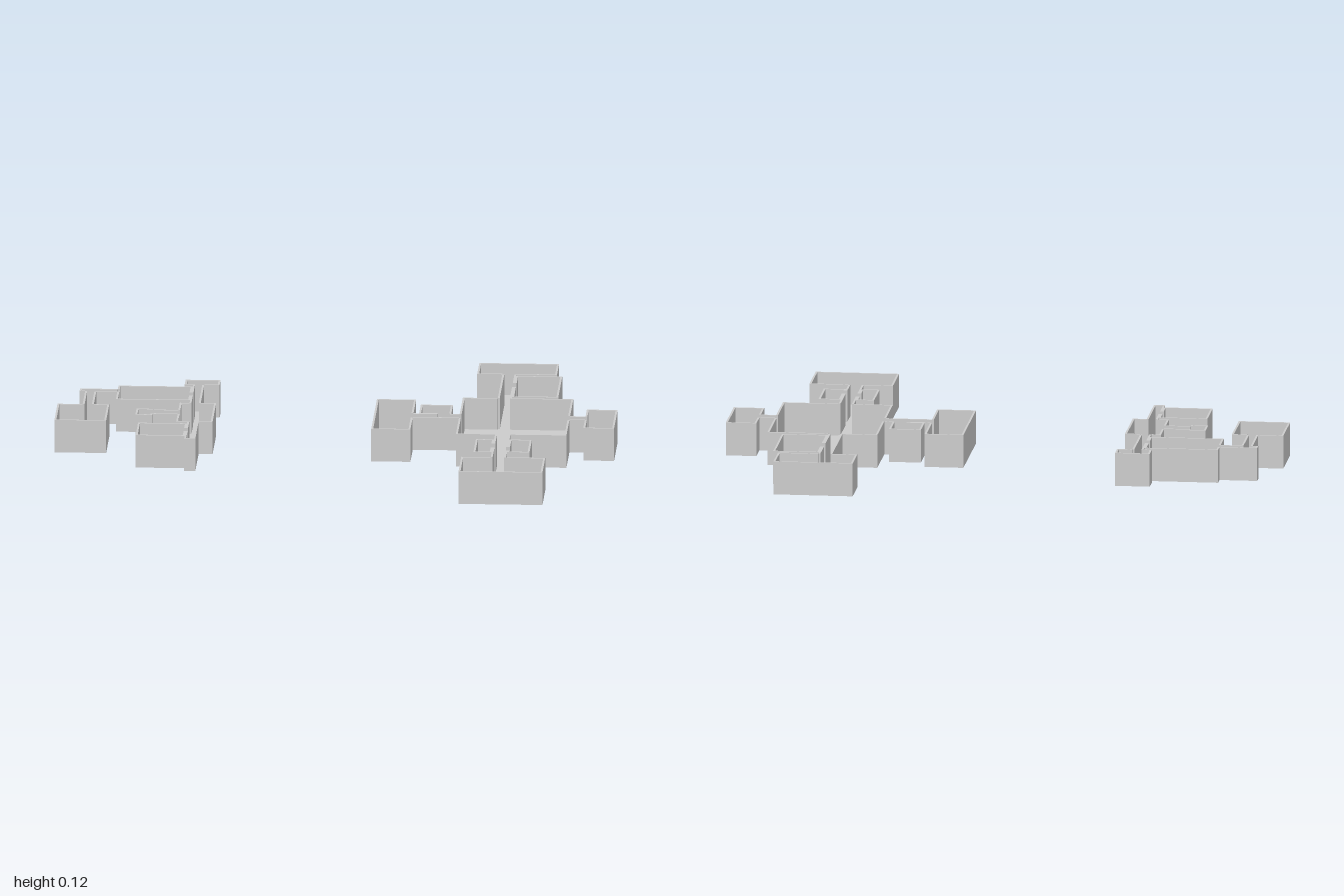
import * as THREE from 'three';

const H = 0.12, T = 0.007, FLOOR = 0.005;

// Rooms and corridors: name, x0, x1, z0, z1
const EAST = [
  ['mainHall', 0.44, 0.835, -0.26, 0.22],
  ['northRoom', 0.475, 0.76, -0.72, -0.575],
  ['northCorridor', 0.565, 0.615, -0.575, -0.26],
  ['northSideRoom', 0.615, 0.78, -0.555, -0.28],
  ['eastCorridor', 0.835, 0.89, -0.035, 0.015],
  ['eastRoom', 0.89, 1.0, -0.125, 0.12],
  ['westCorridor', 0.275, 0.44, -0.045, 0.01],
  ['westRoom', 0.135, 0.275, -0.225, 0.17],
  ['westSideRoom', 0.295, 0.41, -0.16, -0.045],
  ['southCorridor', 0.58, 0.635, 0.22, 0.52],
  ['southSideRoomA', 0.515, 0.58, 0.285, 0.455],
  ['southSideRoomB', 0.635, 0.715, 0.285, 0.45],
  ['southRoom', 0.475, 0.775, 0.52, 0.715],
];
const WEST = [
  ['cornerRoom', -1.0, -0.815, -0.105, 0.11],
  ['cornerCorridor', -0.91, -0.87, -0.275, -0.105],
  ['bendCorridor', -0.93, -0.795, -0.31, -0.275],
  ['largeRoom', -0.795, -0.53, -0.355, -0.175],
  ['northCorridor', -0.53, -0.49, -0.38, -0.14],
  ['northRoom', -0.56, -0.435, -0.445, -0.38],
  ['centreRoom', -0.565, -0.435, -0.14, 0.105],
  ['westCorridor', -0.655, -0.565, -0.045, 0.01],
  ['westRoom', -0.715, -0.655, -0.055, 0.025],
  ['southCorridor', -0.525, -0.485, 0.105, 0.33],
  ['southRoom', -0.70, -0.525, 0.13, 0.295],
];

// Doorways: axis the wall faces, wall position, opening from, to
const DOORS = [
  ['z', -0.575, 0.565, 0.615], ['z', -0.26, 0.565, 0.615], ['x', 0.615, -0.46, -0.41],
  ['x', 0.835, -0.035, 0.015], ['x', 0.89, -0.035, 0.015],
  ['x', 0.44, -0.045, 0.01], ['x', 0.275, -0.045, 0.01], ['z', -0.045, 0.36, 0.405],
  ['z', 0.22, 0.58, 0.635], ['z', 0.52, 0.58, 0.635],
  ['x', 0.58, 0.34, 0.39], ['x', 0.635, 0.38, 0.43],
  ['z', -0.105, -0.91, -0.87], ['z', -0.275, -0.91, -0.87], ['x', -0.795, -0.31, -0.275],
  ['x', -0.53, -0.275, -0.235], ['z', -0.38, -0.53, -0.49], ['z', -0.14, -0.53, -0.49],
  ['x', -0.565, -0.045, 0.01], ['x', -0.655, -0.045, 0.01],
  ['z', 0.105, -0.525, -0.485], ['x', -0.525, 0.19, 0.23],
];

const material = new THREE.MeshStandardMaterial({ color: 0xcccccc, flatShading: true });

function addBox(parent, name, x0, x1, y0, y1, z0, z1) {
  const mesh = new THREE.Mesh(new THREE.BoxGeometry(x1 - x0, y1 - y0, z1 - z0), material);
  mesh.position.set((x0 + x1) / 2, (y0 + y1) / 2, (z0 + z1) / 2);
  mesh.name = name;
  parent.add(mesh);
}

// One wall, split into pieces around its doorways; inward is +1 or -1
function addWall(parent, axis, pos, from, to, inward) {
  const gaps = DOORS
    .filter(([a, p, s, e]) => a === axis && Math.abs(p - pos) < 0.002 && s > from - 0.002 && e < to + 0.002)
    .sort((a, b) => a[2] - b[2]);
  const near = Math.min(pos, pos + inward * T), far = near + T;
  let start = from;
  for (const [, , s, e] of [...gaps, [axis, pos, to, to]]) {
    if (s - start > 0.002) {
      if (axis === 'x') addBox(parent, 'wall', near, far, 0, H, start, s);
      else addBox(parent, 'wall', start, s, 0, H, near, far);
    }
    start = e;
  }
}

// Floor slab with four walls, open at the top
function makeRoom([name, x0, x1, z0, z1]) {
  const room = new THREE.Group();
  room.name = name;
  addBox(room, 'floor', x0, x1, 0, FLOOR, z0, z1);
  addWall(room, 'x', x0, z0, z1, 1);
  addWall(room, 'x', x1, z0, z1, -1);
  addWall(room, 'z', z0, x0, x1, 1);
  addWall(room, 'z', z1, x0, x1, -1);
  return room;
}

export function createModel() {
  const model = new THREE.Group();
  model.name = 'floorPlan';
  for (const [name, rooms] of [['eastWing', EAST], ['westWing', WEST]]) {
    const wing = new THREE.Group();
    wing.name = name;
    rooms.forEach((r) => wing.add(makeRoom(r)));
    model.add(wing);
  }
  return model;
}
